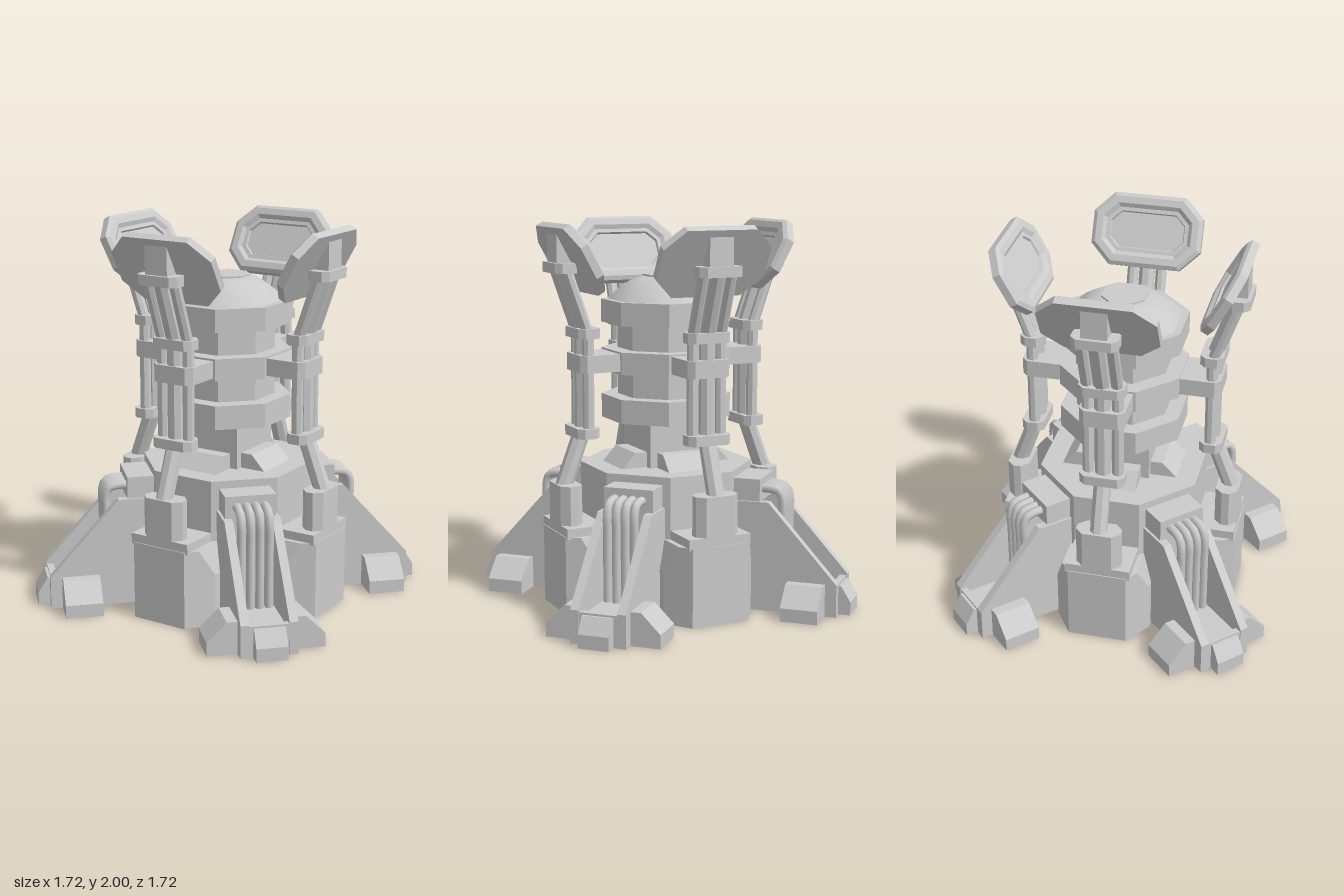
import * as THREE from 'three';

const material = new THREE.MeshStandardMaterial({ color: 0xcccccc, flatShading: true });
const shellMaterial = new THREE.MeshStandardMaterial({ color: 0xcccccc, flatShading: true, side: THREE.DoubleSide });
const smoothMaterial = new THREE.MeshStandardMaterial({ color: 0xcccccc });

function add(parent, name, geometry, mat = material) {
  const mesh = new THREE.Mesh(geometry, mat);
  mesh.name = name;
  parent.add(mesh);
  return mesh;
}

// Box given by its limits
function box(x0, x1, y0, y1, z0, z1) {
  return new THREE.BoxGeometry(x1 - x0, y1 - y0, z1 - z0)
    .translate((x0 + x1) / 2, (y0 + y1) / 2, (z0 + z1) / 2);
}

// Octagonal prism with flats toward the four sides
function octagon(apothem, y0, y1, open = false) {
  const radius = apothem / Math.cos(Math.PI / 8);
  return new THREE.CylinderGeometry(radius, radius, y1 - y0, 8, 1, open)
    .rotateY(Math.PI / 8).translate(0, (y0 + y1) / 2, 0);
}

// Profile of [x, y] points extruded along z
function extrude(points, z0, z1) {
  const shape = new THREE.Shape(points.map(p => new THREE.Vector2(...p)));
  return new THREE.ExtrudeGeometry(shape, { depth: z1 - z0, bevelEnabled: false }).translate(0, 0, z0);
}

// Profile of [z, y] points extruded across x
function sideProfile(points, x0, x1) {
  return extrude(points, -x1, -x0).rotateY(-Math.PI / 2);
}

// Skin over counterclockwise convex rings { points, z } stacked along z
function loft(rings, openStart = false) {
  const pos = [];
  const n = rings[0].points.length;
  const at = (r, i) => [...r.points[i % n], r.z];
  for (let k = 0; k < rings.length - 1; k++) {
    for (let i = 0; i < n; i++) {
      const a = at(rings[k], i), b = at(rings[k], i + 1);
      const c = at(rings[k + 1], i + 1), d = at(rings[k + 1], i);
      pos.push(...a, ...b, ...c, ...a, ...c, ...d);
    }
  }
  const first = rings[0], last = rings[rings.length - 1];
  for (let i = 1; i < n - 1; i++) {
    if (!openStart) pos.push(...at(first, 0), ...at(first, i + 1), ...at(first, i));
    pos.push(...at(last, 0), ...at(last, i), ...at(last, i + 1));
  }
  const g = new THREE.BufferGeometry();
  g.setAttribute('position', new THREE.Float32BufferAttribute(pos, 3));
  g.computeVertexNormals();
  return g;
}

// Rectangle with cut corners, counterclockwise
function cutRect(w, h, c) {
  return [[w, -h + c], [w, h - c], [w - c, h], [-w + c, h],
    [-w, h - c], [-w, -h + c], [-w + c, -h], [w - c, -h]];
}

// Upright block with cut corners
function cutBlock(w, y0, y1, z0, z1, c) {
  const points = cutRect(w, (z1 - z0) / 2, c);
  return loft([{ points, z: y0 }, { points, z: y1 }])
    .rotateX(-Math.PI / 2).translate(0, 0, (z0 + z1) / 2);
}

// Eight-sided rod between two [y, z] points at offset x
function rod(x, [y0, z0], [y1, z1], radius) {
  const length = Math.hypot(y1 - y0, z1 - z0);
  return new THREE.CylinderGeometry(radius, radius, length, 8).rotateY(Math.PI / 8)
    .rotateX(Math.atan2(z1 - z0, y1 - y0)).translate(x, (y0 + y1) / 2, (z0 + z1) / 2);
}

function createCore() {
  const core = new THREE.Group();
  core.name = 'core';
  // Hollow skirt under a solid base
  add(core, 'baseSkirt', octagon(0.42, 0, 0.42, true), shellMaterial);
  add(core, 'baseBody', octagon(0.42, 0.42, 0.73));
  add(core, 'lowerColumn', box(-0.17, 0.17, 0.72, 0.98, -0.17, 0.17));
  add(core, 'upperColumn', octagon(0.235, 0.97, 1.6));
  for (const [y0, y1] of [[0.97, 1.095], [1.225, 1.34], [1.475, 1.595]]) {
    add(core, 'columnRing', octagon(0.314, y0, y1));
  }
  // Shallow rounded roof
  const profile = [[0.303, 1.595], [0.25, 1.65], [0.19, 1.69], [0.12, 1.715], [0, 1.717]]
    .map(p => new THREE.Vector2(...p));
  add(core, 'dome', new THREE.LatheGeometry(profile, 8, Math.PI / 8), smoothMaterial);
  add(core, 'domeCap', octagon(0.112, 1.7, 1.724));
  return core;
}

// Arm reaching outward along +z, with a tilted dish at its top
function createArm() {
  const arm = new THREE.Group();
  arm.name = 'arm';
  // Footing shell, socket and sloped block against the column
  const plan = (w, z) => [[-w, -0.38], [-w, -z], [-0.155, -0.64], [0.155, -0.64], [w, -z], [w, -0.38]];
  add(arm, 'armFooting', loft([
    { points: plan(0.25, 0.5), z: 0 }, { points: plan(0.25, 0.5), z: 0.27 },
    { points: plan(0.2, 0.574), z: 0.41 }], true).rotateX(-Math.PI / 2), shellMaterial);
  add(arm, 'socketBase', box(-0.172, 0.172, 0.4, 0.455, 0.4, 0.635));
  add(arm, 'armSocket', cutBlock(0.117, 0.45, 0.66, 0.515, 0.635, 0.04));
  add(arm, 'columnWedge', sideProfile([[0.16, 0.72], [0.31, 0.72], [0.31, 0.73], [0.235, 0.81], [0.16, 0.81]], -0.128, 0.128));

  // Rods, collars and bracket
  add(arm, 'lowerRod', rod(0, [0.62, 0.595], [0.93, 0.48], 0.045));
  for (const [x, radius] of [[-0.077, 0.03], [0, 0.043], [0.077, 0.03]]) {
    add(arm, 'middleRod', rod(x, [0.92, 0.475], [1.45, 0.475], radius));
    add(arm, 'upperRod', rod(x, [1.44, 0.475], [1.78, 0.595], radius));
  }
  for (const [y, z] of [[0.9, 0.48], [1.415, 0.473], [1.75, 0.595]]) {
    add(arm, 'collar', cutBlock(0.117, y, y + 0.052, z - 0.06, z + 0.06, 0.03));
  }
  add(arm, 'bracket', cutBlock(0.117, 1.24, 1.33, 0.27, 0.525, 0.03));

  // Dish on a wedge-shaped post
  add(arm, 'dishPost', sideProfile([[0.55, 1.79], [0.636, 1.79], [0.636, 1.945]], -0.065, 0.065));
  const rings = [[0, 0], [0, 0.042], [0.02, 0.056], [0.055, 0.056], [0.075, 0.04], [0.095, 0.04], [0.1, 0.028]];
  const dish = add(arm, 'dish', loft(rings.map(([inset, z]) => ({
    points: cutRect(0.295 - inset, 0.192 - inset, 0.105 - inset * 0.55), z }))));
  dish.position.set(0, 1.81, 0.556);
  dish.rotation.set(0.505, Math.PI, 0);
  return arm;
}

// Buttress leg reaching outward along +z
function createLeg() {
  const leg = new THREE.Group();
  leg.name = 'leg';
  add(leg, 'legTopBlock', box(-0.132, 0.132, 0.57, 0.69, 0.4, 0.56));
  for (const s of [-1, 1]) {
    const [x0, x1] = s > 0 ? [0.1, 0.145] : [-0.145, -0.1];
    add(leg, 'sidePlate', sideProfile([[0.415, 0], [0.975, 0], [0.975, 0.17], [0.61, 0.575], [0.415, 0.575]], x0, x1));
    // Side pad sloping down outward
    add(leg, 'sidePad', extrude([[0.12, 0], [0.3, 0], [0.3, 0.07], [0.2, 0.17], [0.12, 0.17]]
      .map(([x, y]) => [s * x, y]), 0.72, 0.915));
  }
  // Foot deck, hollow underneath, with a toe in front
  add(leg, 'footDeck', box(-0.11, 0.11, 0.1, 0.13, 0.64, 0.96));
  add(leg, 'footPanel', box(-0.085, 0.085, 0.12, 0.137, 0.75, 0.935));
  add(leg, 'heelBar', box(-0.11, 0.11, 0, 0.11, 0.64, 0.75));
  add(leg, 'frontBar', box(-0.11, 0.11, 0, 0.16, 0.935, 0.97));
  add(leg, 'toe', sideProfile([[0.95, 0], [1.035, 0], [1.035, 0.07], [0.985, 0.15], [0.95, 0.15]], -0.08, 0.08));
  // Hoses bending down between the plates
  for (let i = 0; i < 4; i++) {
    const x = (i - 1.5) * 0.048;
    const path = new THREE.CatmullRomCurve3([[0.5, 0.633], [0.61, 0.633], [0.648, 0.62], [0.665, 0.58], [0.665, 0.45], [0.665, 0.1]]
      .map(([z, y]) => new THREE.Vector3(x, y, z)));
    add(leg, 'hose', new THREE.TubeGeometry(path, 24, 0.023, 8), smoothMaterial);
  }
  return leg;
}

export function createModel() {
  const model = new THREE.Group();
  model.name = 'tower';
  model.add(createCore());
  for (let i = 0; i < 4; i++) {
    const arm = createArm();
    arm.rotation.y = i * Math.PI / 2;
    const leg = createLeg();
    leg.rotation.y = (i + 0.5) * Math.PI / 2;
    model.add(arm, leg);
  }
  return model;
}
